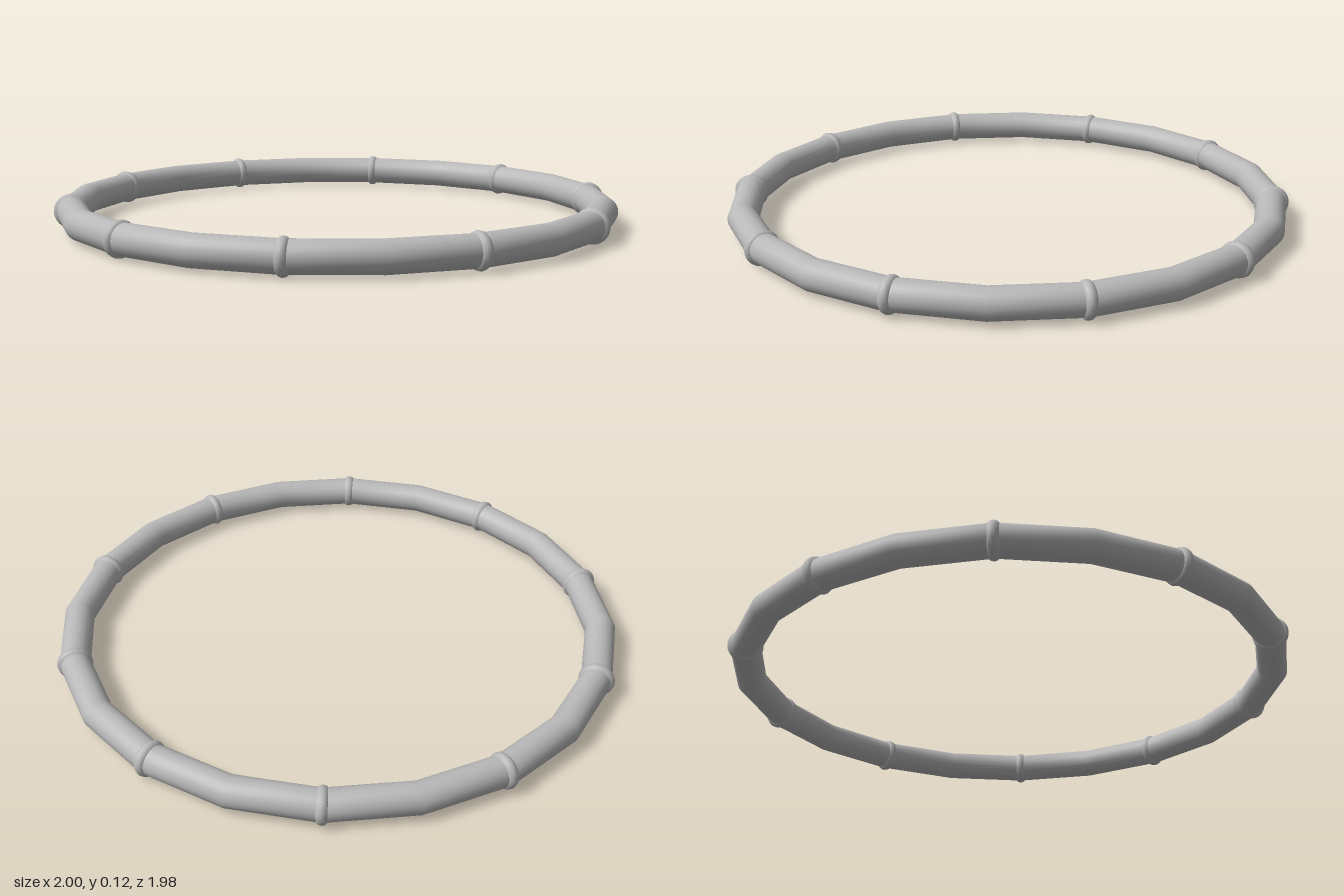
import * as THREE from 'three';

export function createModel() {
  const model = new THREE.Group();
  const grey = new THREE.MeshStandardMaterial({ color: 0xb8b8b8 });
  grey.name = 'light grey';

  const ringRadius = 0.938, height = 0.0615, joints = 10;

  // Main tube: twenty straight lengths bent into a ring
  const tube = new THREE.Mesh(new THREE.TorusGeometry(ringRadius, 0.053, 24, joints * 2), grey);
  tube.name = 'ringTube';
  tube.rotation.x = -Math.PI / 2;
  tube.position.y = height;
  model.add(tube);

  // Rounded collars around every second bend
  const collarGeometry = new THREE.TorusGeometry(0.0405, 0.021, 12, 32);
  const collars = new THREE.Group();
  collars.name = 'collars';
  for (let i = 0; i < joints; i++) {
    const angle = (i / joints) * Math.PI * 2;
    const collar = new THREE.Mesh(collarGeometry, grey);
    collar.name = 'collar';
    collar.position.set(Math.cos(angle) * ringRadius, height, Math.sin(angle) * ringRadius);
    collar.rotation.y = -angle;
    collars.add(collar);
  }
  model.add(collars);

  return model;
}
